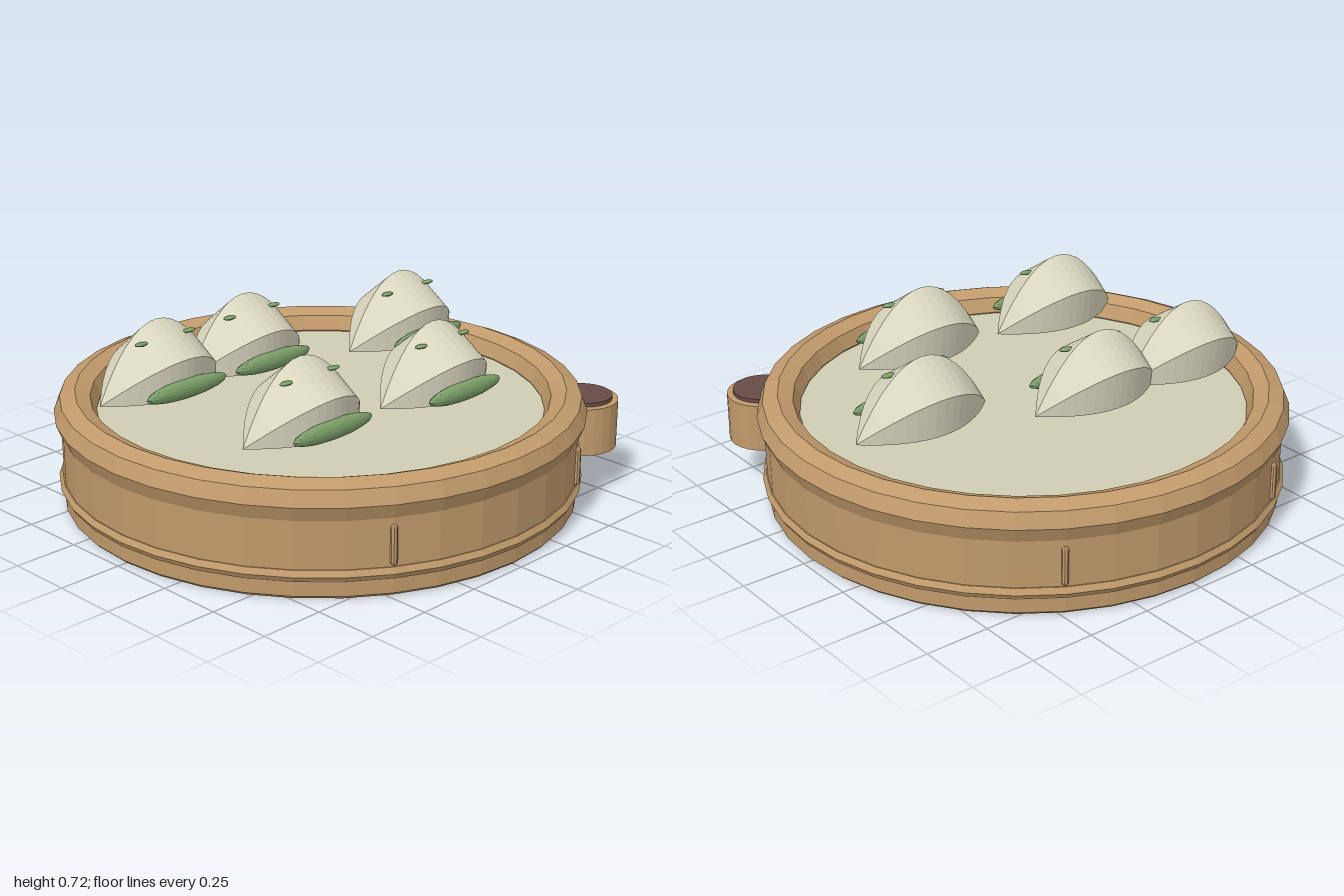
import * as THREE from 'three';

const mat = (name, color) => {
  const m = new THREE.MeshStandardMaterial({ color, flatShading: true });
  m.name = name;
  return m;
};

export function createModel() {
  const wood = mat('bamboo', 0xc19a6b);
  const paper = mat('paper', 0xcfceb2);
  const dough = mat('dough', 0xdbd8c0);
  const green = mat('leafGreen', 0x7b9f68);
  const sauce = mat('sauce', 0x674c47);

  const model = new THREE.Group();
  model.name = 'dumplingSteamer';
  const add = (parent, name, geometry, material, x = 0, y = 0, z = 0) => {
    const mesh = new THREE.Mesh(geometry, material);
    mesh.name = name;
    mesh.position.set(x, y, z);
    parent.add(mesh);
    return mesh;
  };

  // Basket body with a slightly bevelled foot
  const profile = [[0, 0], [0.96, 0], [0.972, 0.012], [0.976, 0.35], [0.88, 0.35], [0.88, 0.32], [0, 0.32]]
    .map(([r, y]) => new THREE.Vector2(r, y));
  add(model, 'basketWall', new THREE.LatheGeometry(profile, 36), wood);

  // Thick top rim and thin lower band
  const ring = (name, radius, tube, sides, y) =>
    add(model, name, new THREE.TorusGeometry(radius, tube, sides, 36).rotateX(-Math.PI / 2), wood, 0, y, 0);
  ring('topRim', 0.92, 0.08, 8, 0.35);
  ring('lowerBand', 0.965, 0.025, 6, 0.09);

  // Paper liner
  add(model, 'paperLiner', new THREE.CylinderGeometry(0.855, 0.855, 0.02, 36), paper, 0, 0.335, 0);

  // Four binding pegs on the wall
  for (const sx of [-1, 1]) for (const sz of [-1, 1]) {
    add(model, 'bindingPeg', new THREE.CapsuleGeometry(0.013, 0.125, 3, 8), wood, sx * 0.49, 0.195, sz * 0.847);
  }

  // Sauce cup on the side
  add(model, 'sauceCup', new THREE.CylinderGeometry(0.14, 0.14, 0.185, 24), wood, 0.73, 0.2625, 0.667);
  add(model, 'sauce', new THREE.CylinderGeometry(0.11, 0.11, 0.02, 24), sauce, 0.735, 0.36, 0.672);

  // Dumpling: five-sided section that shrinks to a point at both ends
  const doughGeometry = dumplingGeometry(0.285, 16);
  const ball = (rx, ry, rz) => new THREE.SphereGeometry(1, 16, 10).scale(rx, ry, rz);
  const mouthGeometry = ball(0.193, 0.037, 0.03);
  const eyeGeometry = ball(0.028, 0.007, 0.016);

  const spots = [[0.54, -0.1], [0.18, 0.41], [-0.43, 0.345], [-0.52, -0.315], [-0.09, -0.315]];
  for (const [x, z] of spots) {
    const dumpling = new THREE.Group();
    dumpling.name = 'dumpling';
    dumpling.position.set(x, 0.46, z);
    add(dumpling, 'dumplingBody', doughGeometry, dough);
    add(dumpling, 'mouth', mouthGeometry, green, 0, 0.038, 0.152);
    for (const s of [-1, 1]) add(dumpling, 'eye', eyeGeometry, green, s * 0.114, 0.205, 0.037);
    model.add(dumpling);
  }
  return model;
}

function dumplingGeometry(halfLength, steps) {
  // Section corners as [z, y], from front bottom over the ridge to back bottom
  const section = [[0.145, 0], [0.16, 0.15], [-0.012, 0.265], [-0.152, 0.15], [-0.132, 0]];
  const n = section.length;
  const positions = [];
  const index = [];
  for (let i = 0; i <= steps; i++) {
    const t = (i / steps) * 2 - 1;
    const k = 1 - t * t;
    for (const [z, y] of section) positions.push(t * halfLength, y * k, z * k);
  }
  for (let i = 0; i < steps; i++) for (let j = 0; j < n; j++) {
    const a = i * n + j;
    const b = i * n + ((j + 1) % n);
    index.push(a, a + n, b, b, a + n, b + n);
  }
  const geometry = new THREE.BufferGeometry();
  geometry.setAttribute('position', new THREE.Float32BufferAttribute(positions, 3));
  geometry.setIndex(index);
  geometry.computeVertexNormals();
  return geometry;
}
